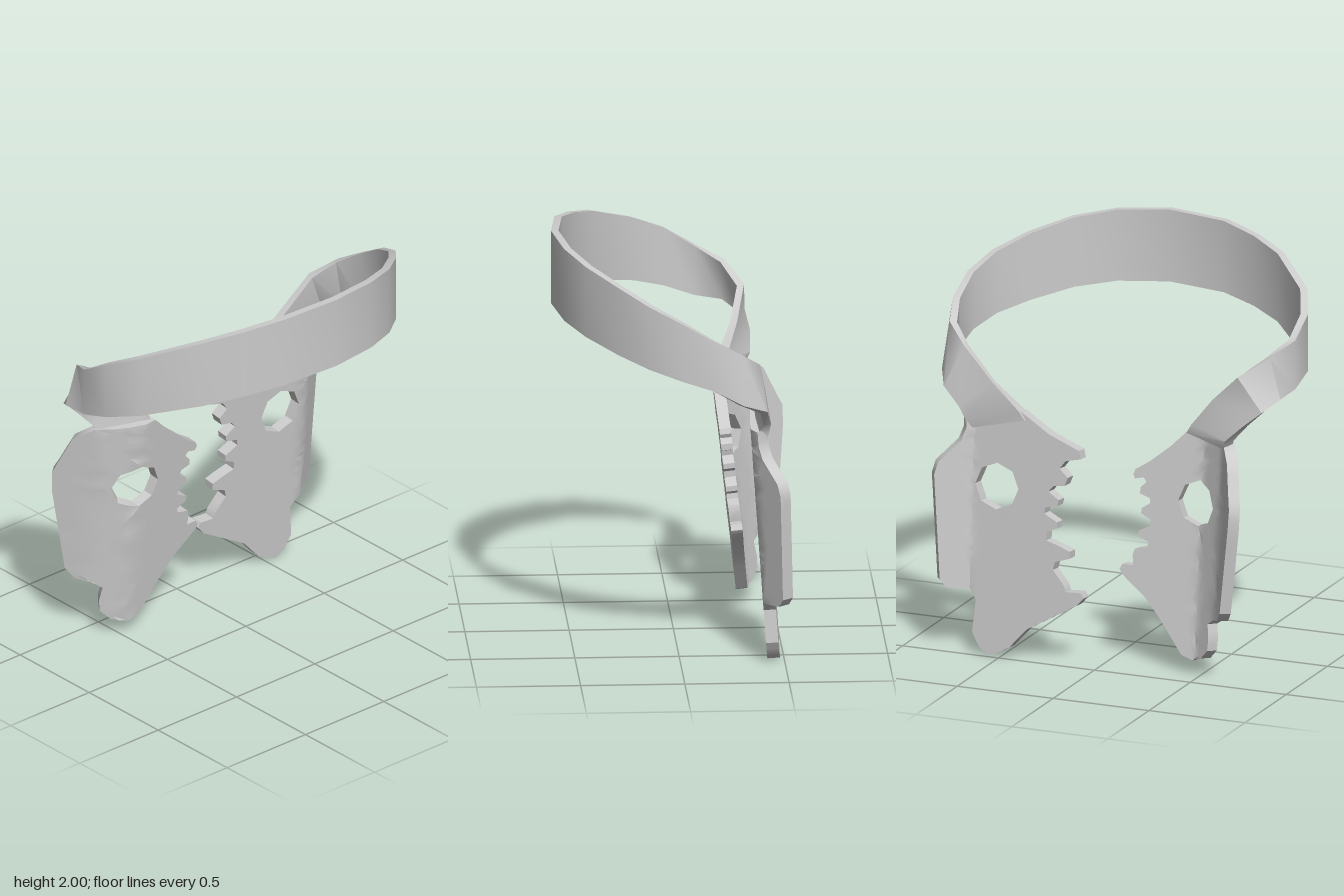
import * as THREE from 'three';
import { toCreasedNormals } from 'three/addons/utils/BufferGeometryUtils.js';

const material = new THREE.MeshStandardMaterial({ color: 0xcccccc, side: THREE.DoubleSide });

// piecewise linear curve through [input, output] pairs with rising input
function ramp(points, t) {
  if (t <= points[0][0]) return points[0][1];
  for (let i = 1; i < points.length; i++) {
    const [a, va] = points[i - 1], [b, vb] = points[i];
    if (t <= b) return va + (vb - va) * (t - a) / (b - a);
  }
  return points[points.length - 1][1];
}

function finish(positions, name, crease) {
  const g = new THREE.BufferGeometry();
  g.setAttribute('position', new THREE.Float32BufferAttribute(positions, 3));
  const mesh = new THREE.Mesh(toCreasedNormals(g, crease), material);
  mesh.name = name;
  return mesh;
}

// halve the longest edge until the sheet is fine enough to bend
function split(a, b, c, out) {
  const ab = a.distanceTo(b), bc = b.distanceTo(c), ca = c.distanceTo(a);
  const longest = Math.max(ab, bc, ca);
  if (longest < 0.07) {
    out.push(a, b, c);
  } else if (ab === longest) {
    const m = a.clone().add(b).multiplyScalar(0.5);
    split(a, m, c, out);
    split(m, b, c, out);
  } else if (bc === longest) {
    split(b, c, a, out);
  } else {
    split(c, a, b, out);
  }
}

// flat sheet with a hole, bent so its middle follows depth(x, y)
function makeJaw(name, outline, hole, depth, thickness) {
  const shape = new THREE.Shape(outline.map(([x, y]) => new THREE.Vector2(x, y)));
  const ring = [];
  for (let i = 0; i < 8; i++) {
    const a = i * Math.PI / 4;
    ring.push(new THREE.Vector2(hole.x + hole.r * Math.cos(a), hole.y + hole.r * Math.sin(a)));
  }
  shape.holes.push(new THREE.Path(ring));
  const flat = new THREE.ExtrudeGeometry(shape, { depth: thickness, bevelEnabled: false });
  flat.translate(0, 0, -thickness / 2);
  const src = flat.getAttribute('position');
  const points = [];
  const at = (i) => new THREE.Vector3().fromBufferAttribute(src, i);
  for (let i = 0; i < src.count; i += 3) split(at(i), at(i + 1), at(i + 2), points);
  const e = 0.015, normal = new THREE.Vector3(), positions = [];
  for (const p of points) {
    normal.set(
      (depth(p.x - e, p.y) - depth(p.x + e, p.y)) / (2 * e),
      (depth(p.x, p.y - e) - depth(p.x, p.y + e)) / (2 * e), 1).normalize();
    positions.push(p.x + normal.x * p.z, p.y + normal.y * p.z, depth(p.x, p.y) + normal.z * p.z);
  }
  return finish(positions, name, 0.6);
}

// rectangular section swept along pairs of upper and lower edge points
function makeBow(stations) {
  const mids = stations.map(([t, b]) => t.clone().add(b).multiplyScalar(0.5));
  const last = stations.length - 1;
  const rings = stations.map(([t, b], i) => {
    const tangent = mids[Math.min(i + 1, last)].clone().sub(mids[Math.max(i - 1, 0)]);
    const fromEnd = Math.min(i, last - i);
    const half = fromEnd < 2 ? 0.027 : 0.018;
    const n = tangent.cross(t.clone().sub(b)).normalize().multiplyScalar(half);
    return [t.clone().add(n), t.clone().sub(n), b.clone().sub(n), b.clone().add(n)];
  });
  const positions = [];
  const tri = (...pts) => pts.forEach((p) => positions.push(p.x, p.y, p.z));
  for (let i = 0; i < last; i++) {
    for (let k = 0; k < 4; k++) {
      const a = rings[i][k], b = rings[i + 1][k];
      const c = rings[i + 1][(k + 1) % 4], d = rings[i][(k + 1) % 4];
      tri(a, b, d);
      tri(b, c, d);
    }
  }
  const s = rings[0], f = rings[last];
  tri(s[0], s[1], s[2]); tri(s[0], s[2], s[3]);
  tri(f[0], f[2], f[1]); tri(f[0], f[3], f[2]);
  return finish(positions, 'bow', 0.7);
}

export function createModel() {
  const group = new THREE.Group();
  group.name = 'clamp';
  const v = (x, y, z) => new THREE.Vector3(x, y, z);

  // bow: arched band in front, twisting into a neck at each end
  const upper = [[-0.4, 1.44], [-0.33, 1.52], [-0.2, 1.63], [0, 1.75], [0.3, 1.89], [0.57, 2]];
  const lower = [[-0.42, 1.29], [-0.2, 1.4], [0, 1.465], [0.3, 1.555], [0.57, 1.64]];
  const arch = [[-0.88, -0.15], [-0.88, 0], [-0.81, 0.155], [-0.6, 0.365], [-0.43, 0.465],
    [-0.24, 0.54], [0.06, 0.572], [0.32, 0.525], [0.51, 0.435], [0.68, 0.29], [0.8, 0.15],
    [0.86, 0], [0.87, -0.15]];
  const band = arch.map(([x, z]) => [v(x, ramp(upper, z), z), v(x, ramp(lower, z), z)]);
  const rightNeck = [
    [v(-0.39, 1.17, -0.24), v(-0.64, 1.15, -0.36)],
    [v(-0.42, 1.21, -0.25), v(-0.65, 1.19, -0.38)],
    [v(-0.55, 1.37, -0.32), v(-0.74, 1.28, -0.39)],
    [v(-0.69, 1.51, -0.36), v(-0.82, 1.35, -0.37)],
    [v(-0.81, 1.6, -0.28), v(-0.87, 1.4, -0.29)]];
  const leftNeck = [
    [v(0.83, 1.58, -0.28), v(0.87, 1.34, -0.28)],
    [v(0.73, 1.5, -0.36), v(0.82, 1.29, -0.39)],
    [v(0.57, 1.34, -0.39), v(0.74, 1.21, -0.41)],
    [v(0.43, 1.22, -0.39), v(0.71, 1.15, -0.39)],
    [v(0.4, 1.18, -0.39), v(0.71, 1.1, -0.375)]];
  group.add(makeBow([...rightNeck, ...band, ...leftNeck]));

  // right jaw: outer flange folded sharply back
  const rightOutline = [[-0.4, 1.19], [-0.64, 1.17], [-0.7, 1.1], [-0.75, 0.9], [-0.745, 0.8],
    [-0.69, 0.37], [-0.66, 0.32], [-0.61, 0.3], [-0.57, 0.27], [-0.58, 0.2], [-0.575, 0.14],
    [-0.53, 0.09], [-0.46, 0.065], [-0.4, 0.085], [-0.33, 0.18], [-0.27, 0.26], [-0.2, 0.34],
    [-0.075, 0.44], [-0.06, 0.465], [-0.075, 0.49], [-0.13, 0.49], [-0.125, 0.54],
    [-0.135, 0.57], [-0.2, 0.585], [-0.205, 0.61], [-0.15, 0.635], [-0.15, 0.66],
    [-0.21, 0.69], [-0.21, 0.72], [-0.16, 0.745], [-0.16, 0.77], [-0.205, 0.8],
    [-0.2, 0.825], [-0.15, 0.84], [-0.15, 0.87], [-0.18, 0.9], [-0.165, 0.92],
    [-0.12, 0.91], [-0.11, 0.93], [-0.12, 0.955], [-0.19, 1], [-0.3, 1.09]];
  const rightFold = [[-0.76, -0.3], [-0.62, -0.1], [-0.48, 0], [0, 0]];
  group.add(makeJaw('rightJaw', rightOutline, { x: -0.46, y: 0.83, r: 0.112 },
    (x, y) => -0.255 - 0.11 * (0.95 - y) + ramp(rightFold, x), 0.055));

  // left jaw: wider bite, flange folded more gently
  const leftOutline = [[0.42, 1.21], [0.27, 1.12], [0.11, 1.06], [0.1, 1.02], [0.18, 1],
    [0.21, 0.96], [0.165, 0.92], [0.18, 0.88], [0.24, 0.87], [0.265, 0.84], [0.21, 0.805],
    [0.215, 0.775], [0.28, 0.76], [0.285, 0.73], [0.215, 0.695], [0.215, 0.665], [0.27, 0.64],
    [0.27, 0.6], [0.2, 0.58], [0.145, 0.56], [0.145, 0.525], [0.22, 0.5], [0.23, 0.46],
    [0.17, 0.39], [0.16, 0.36], [0.08, 0.365], [0.065, 0.34], [0.1, 0.3], [0.36, 0.15],
    [0.45, 0.05], [0.52, 0.01], [0.56, 0], [0.61, 0.03], [0.65, 0.1], [0.635, 0.26],
    [0.68, 0.31], [0.78, 0.32], [0.81, 0.36], [0.845, 0.88], [0.83, 0.94], [0.74, 1.04],
    [0.72, 1.1], [0.72, 1.17]];
  const leftFold = [[0.1, 0], [0.5, 0.02], [0.68, 0.03], [0.86, -0.09]];
  group.add(makeJaw('leftJaw', leftOutline, { x: 0.54, y: 0.83, r: 0.115 },
    (x, y) => -0.4 - 0.07 * (1.05 - y) + ramp(leftFold, x), 0.06));

  return group;
}
